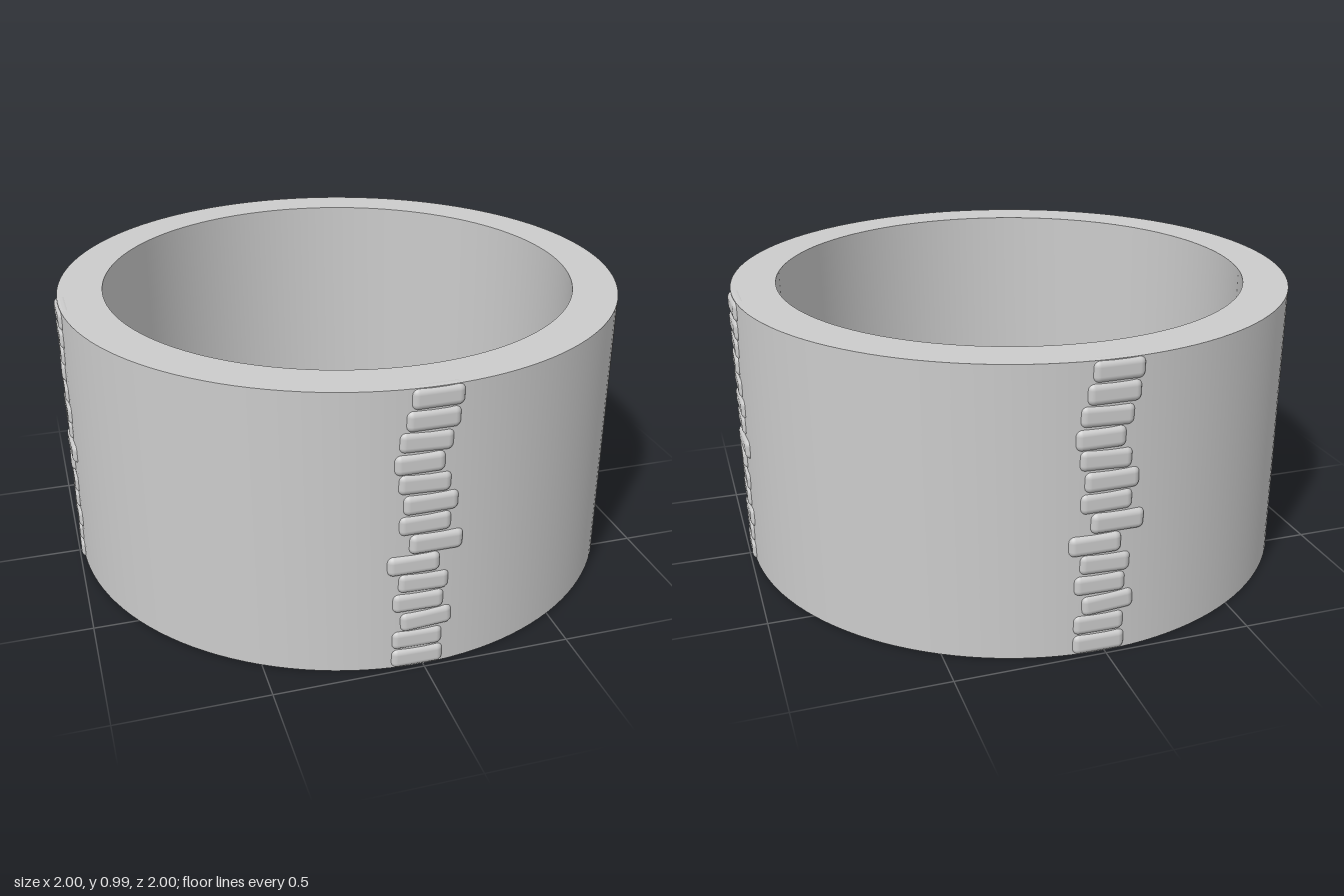
import * as THREE from 'three';
import { toCreasedNormals } from 'three/addons/utils/BufferGeometryUtils.js';
import { RoundedBoxGeometry } from 'three/addons/geometries/RoundedBoxGeometry.js';

const OUTER = 0.985, INNER = 0.83, HEIGHT = 0.985;

// Each stone from the top down: left edge, right edge, roll, protrusion
const STONES = [
  [-0.06, 0.10, 0, 0.009],
  [-0.075, 0.09, 0, 0.009],
  [-0.095, 0.07, -0.03, 0.008],
  [-0.108, 0.045, 0.02, 0.01],
  [-0.095, 0.068, -0.03, 0.008],
  [-0.078, 0.094, 0, 0.009],
  [-0.09, 0.073, 0.02, 0.008],
  [-0.055, 0.115, -0.02, 0.011],
  [-0.123, 0.04, 0.02, 0.011],
  [-0.088, 0.073, -0.03, 0.008],
  [-0.104, 0.058, 0, 0.009],
  [-0.078, 0.088, 0.06, 0.009],
  [-0.104, 0.058, 0, 0.008],
  [-0.104, 0.062, 0, 0.009],
];

export function createModel() {
  const model = new THREE.Group();
  const material = new THREE.MeshStandardMaterial({ color: 0xcccccc });

  // Thick circular wall
  const profile = [[INNER, 0], [OUTER, 0], [OUTER, HEIGHT], [INNER, HEIGHT], [INNER, 0]]
    .map(([x, y]) => new THREE.Vector2(x, y));
  const wall = new THREE.Mesh(toCreasedNormals(new THREE.LatheGeometry(profile, 128), 0.5), material);
  wall.name = 'ringWall';
  model.add(wall);

  // Four columns of stones, a quarter turn apart
  const pitch = HEIGHT / STONES.length, depth = 0.05;
  for (let c = 0; c < 4; c++) {
    const column = new THREE.Group();
    column.name = 'stoneColumn' + (c + 1);
    STONES.forEach(([left, right, roll, out], i) => {
      const angle = Math.asin((left + right) / 2 / OUTER);
      const r = OUTER + out - depth / 2;
      const stone = new THREE.Mesh(
        new RoundedBoxGeometry(right - left + 0.008, pitch + 0.002, depth, 4, 0.022), material);
      stone.name = 'stone' + (i + 1);
      stone.position.set(r * Math.sin(angle), HEIGHT - pitch * (i + 0.5), r * Math.cos(angle));
      stone.rotation.set(0, angle, roll);
      column.add(stone);
    });
    column.rotation.y = c * Math.PI / 2;
    model.add(column);
  }
  return model;
}
